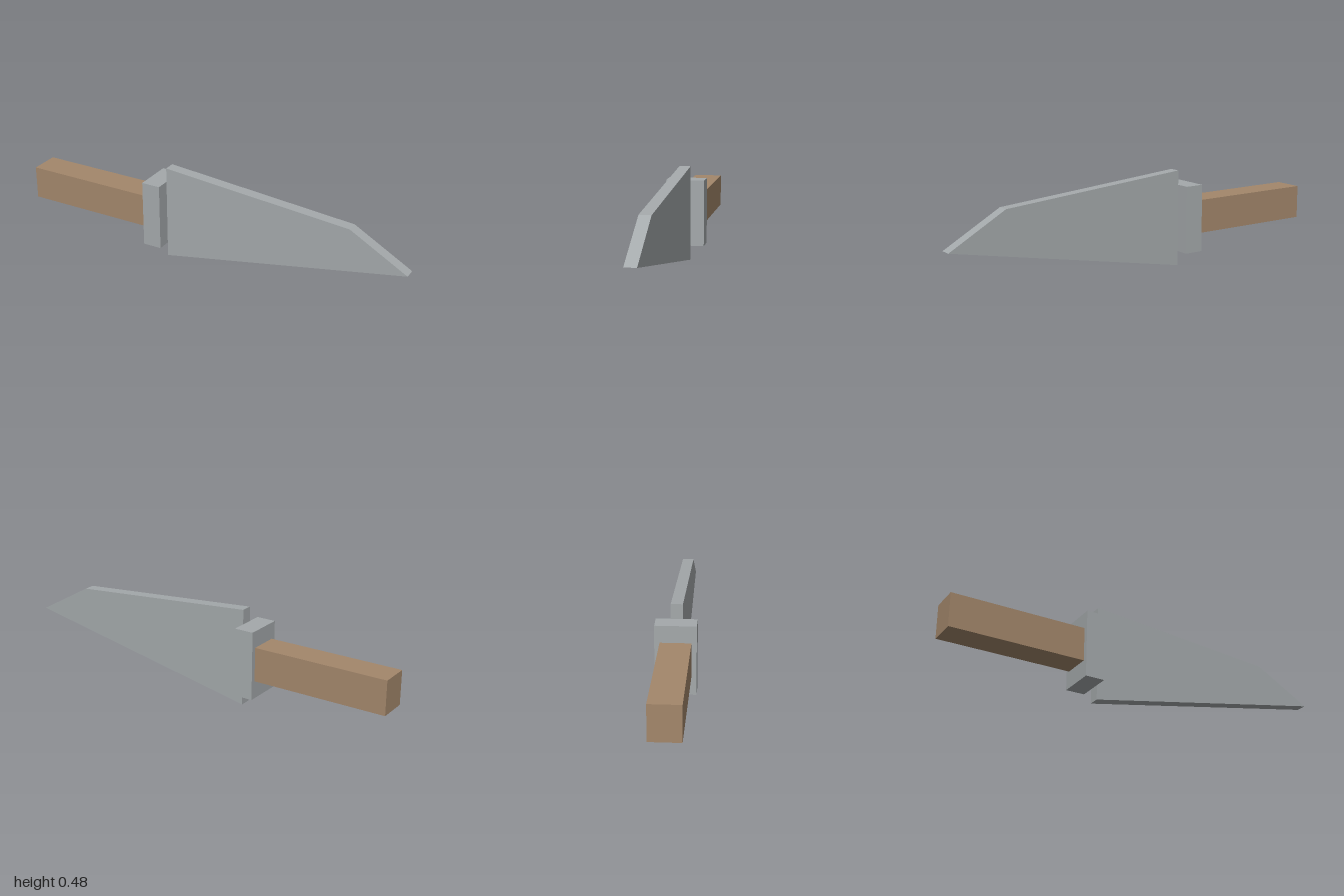
import * as THREE from 'three';

export function createModel() {
  const steel = new THREE.MeshStandardMaterial({ name: 'steel grey', color: 0xa4a9ab });
  const wood = new THREE.MeshStandardMaterial({ name: 'wood brown', color: 0xa3876b });
  const knife = new THREE.Group();
  knife.name = 'knife';

  const add = (name, geometry, material) => {
    const mesh = new THREE.Mesh(geometry, material);
    mesh.name = name;
    knife.add(mesh);
  };

  // Box spanning x0..x1 and y0..y1, centred on z
  const block = (x0, x1, y0, y1, depth) =>
    new THREE.BoxGeometry(x1 - x0, y1 - y0, depth)
      .translate((x0 + x1) / 2, (y0 + y1) / 2, 0);

  add('handle', block(-1, -0.335, 0.158, 0.324, 0.144), wood);
  add('guard', block(-0.335, -0.24, 0.072, 0.405, 0.192), steel);

  // Blade: flat outline with a straight edge below and a clipped point
  const outline = new THREE.Shape([
    [-0.24, 0], [1, 0.238], [0.715, 0.398], [-0.24, 0.476],
  ].map(([x, y]) => new THREE.Vector2(x, y)));
  const thickness = 0.056;
  const blade = new THREE.ExtrudeGeometry(outline, { depth: thickness, bevelEnabled: false });
  blade.translate(0, 0, -thickness / 2);
  add('blade', blade, steel);

  return knife;
}
